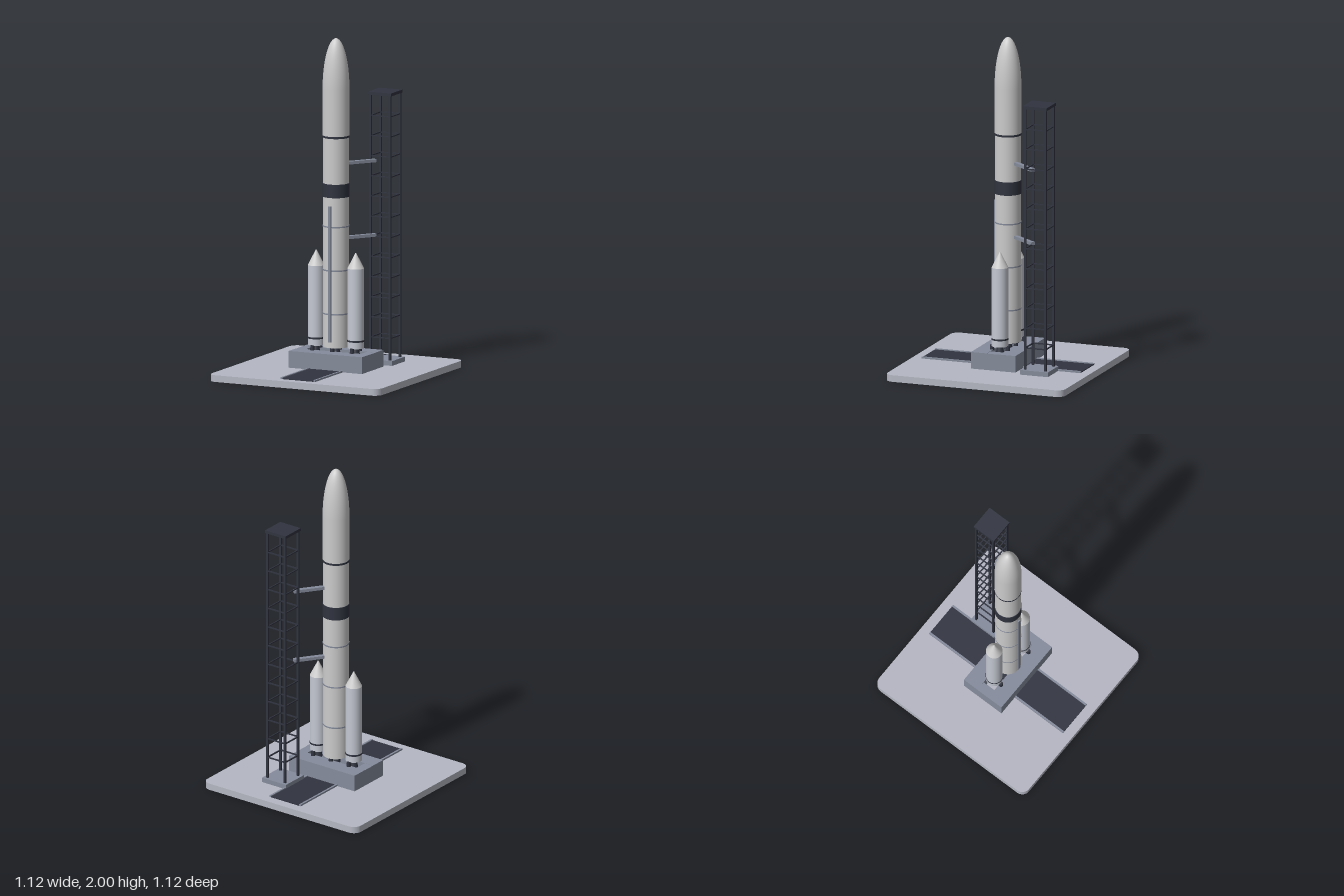
import * as THREE from 'three';

const mat = (color) => new THREE.MeshStandardMaterial({ color });
const grey = mat(0xcccccc), white = mat(0xe6e6e4), concrete = mat(0xb4b6c2);
const steel = mat(0x858b9b), dark = mat(0x30333f), boosterGrey = mat(0xc4c8d2);

export function createModel() {
  const root = new THREE.Group();
  root.name = 'rocketOnPad';

  const add = (parent, name, geometry, material, x = 0, y = 0, z = 0) => {
    const mesh = new THREE.Mesh(geometry, material);
    mesh.name = name;
    mesh.position.set(x, y, z);
    parent.add(mesh);
    return mesh;
  };
  const group = (name, x = 0, z = 0) => {
    const g = new THREE.Group();
    g.name = name;
    g.position.set(x, 0, z);
    root.add(g);
    return g;
  };
  // Box and cylinder given by their bottom and top heights
  const box = (parent, name, w, d, y0, y1, material, x = 0, z = 0) =>
    add(parent, name, new THREE.BoxGeometry(w, y1 - y0, d), material, x, (y0 + y1) / 2, z);
  const cyl = (parent, name, rBottom, rTop, y0, y1, material, x = 0, z = 0, sides = 40) =>
    add(parent, name, new THREE.CylinderGeometry(rTop, rBottom, y1 - y0, sides), material, x, (y0 + y1) / 2, z);

  // Ground slab with rounded corners
  const h = 0.56, r = 0.05;
  const slab = new THREE.Shape();
  slab.moveTo(-h + r, -h);
  slab.absarc(h - r, -h + r, r, -Math.PI / 2, 0);
  slab.absarc(h - r, h - r, r, 0, Math.PI / 2);
  slab.absarc(-h + r, h - r, r, Math.PI / 2, Math.PI);
  slab.absarc(-h + r, -h + r, r, Math.PI, Math.PI * 1.5);
  const slabGeometry = new THREE.ExtrudeGeometry(slab, { depth: 0.04, bevelEnabled: false, curveSegments: 8 });
  add(root, 'groundSlab', slabGeometry.rotateX(-Math.PI / 2), concrete);

  // Flame trench with raised kerbs
  const trench = group('flameTrench');
  box(trench, 'trenchFloor', 0.204, 1, 0.038, 0.045, dark);
  for (const s of [-1, 1]) box(trench, 'trenchKerb', 0.012, 1, 0.038, 0.05, steel, s * 0.108);

  // Launch table: four blocks round an exhaust opening
  const table = group('launchTable');
  for (const s of [-1, 1]) {
    box(table, 'tableBeam', 0.48, 0.1, 0.04, 0.14, steel, 0, s * 0.09);
    box(table, 'tableEnd', 0.06, 0.08, 0.04, 0.139, steel, s * 0.21);
  }

  // Core stage
  const core = group('coreStage');
  cyl(core, 'coreBody', 0.077, 0.077, 0.165, 1.42, grey);
  cyl(core, 'interstageBand', 0.08, 0.08, 1.06, 1.14, dark);
  for (const y of [0.365, 0.625, 0.885]) cyl(core, 'coreRing', 0.0785, 0.0785, y - 0.004, y + 0.004, steel);
  cyl(core, 'fairingRing', 0.08, 0.08, 1.412, 1.424, dark);
  box(core, 'cableDuct', 0.016, 0.016, 0.2, 1.01, steel, 0, 0.078);
  cyl(core, 'coreNozzle', 0.028, 0.015, 0.12, 0.17, dark, 0, 0, 24);

  // Fairing: straight barrel running into an elliptical nose
  const profile = [new THREE.Vector2(0.079, 1.42)];
  for (let i = 0; i <= 20; i++) {
    const a = (i / 20) * Math.PI / 2;
    profile.push(new THREE.Vector2(0.079 * Math.cos(a), 1.7 + 0.3 * Math.sin(a)));
  }
  add(core, 'payloadFairing', new THREE.LatheGeometry(profile, 40), white);

  // Side boosters
  for (const s of [-1, 1]) {
    const booster = group(s > 0 ? 'leftBooster' : 'rightBooster', s * 0.13);
    cyl(booster, 'boosterBody', 0.049, 0.049, 0.165, 0.64, boosterGrey, 0, 0, 32);
    cyl(booster, 'boosterNose', 0.049, 0.003, 0.64, 0.73, white, 0, 0, 32);
    cyl(booster, 'boosterRing', 0.0505, 0.0505, 0.204, 0.214, dark, 0, 0, 32);
    cyl(booster, 'boosterNozzle', 0.026, 0.014, 0.12, 0.17, dark, 0, 0, 24);
  }

  // Hold-down posts on the table
  for (const x of [-0.13, 0, 0.13])
    for (const z of [-0.05, 0.05]) cyl(table, 'holdDownPost', 0.014, 0.011, 0.138, 0.168, dark, x, z, 12);

  // Service tower: four legs with square frames
  const tower = group('serviceTower', 0.1875, -0.27);
  box(tower, 'towerFoot', 0.175, 0.175, 0.04, 0.068, steel);
  box(tower, 'towerRoof', 0.15, 0.15, 1.642, 1.66, dark);
  const half = 0.064;
  for (const sx of [-1, 1])
    for (const sz of [-1, 1]) box(tower, 'towerLeg', 0.013, 0.013, 0.06, 1.645, dark, sx * half, sz * half);
  for (let i = 0; i < 12; i++) {
    const y = 0.198 + i * 0.12;
    for (const s of [-1, 1]) {
      box(tower, 'towerRung', 2 * half, 0.007, y - 0.0035, y + 0.0035, dark, 0, s * half);
      box(tower, 'towerRung', 0.007, 2 * half, y - 0.0035, y + 0.0035, dark, s * half, 0);
    }
  }

  // Swing arms from the tower corner to the core
  const from = new THREE.Vector2(0.04, -0.065), to = new THREE.Vector2(0.15, -0.215);
  const span = to.clone().sub(from);
  for (const y of [0.806, 1.25]) {
    const arm = box(root, 'swingArm', 0.026, span.length(), y - 0.009, y + 0.009, steel,
      (from.x + to.x) / 2, (from.y + to.y) / 2);
    arm.rotation.y = Math.atan2(span.x, span.y);
  }

  return root;
}
